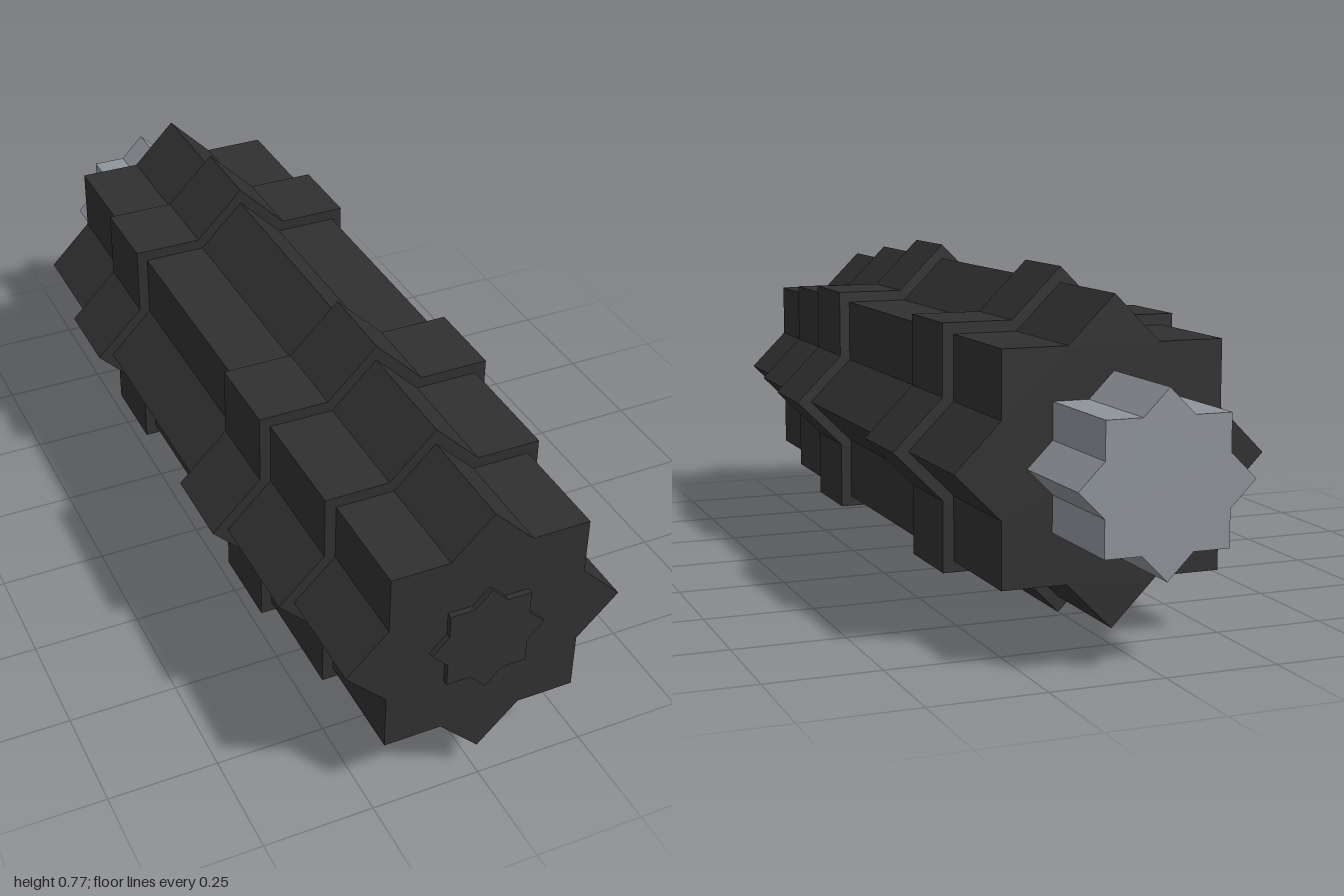
import * as THREE from 'three';

const AXIS_Y = 0.385;

// Eight-pointed star: the outline of two squares crossed at 45 degrees
function starShape(radius) {
  const inner = radius * Math.SQRT1_2 / Math.cos(Math.PI / 8);
  const points = [];
  for (let i = 0; i < 16; i++) {
    const r = i % 2 ? inner : radius;
    const a = i * Math.PI / 8;
    points.push(new THREE.Vector2(r * Math.cos(a), r * Math.sin(a)));
  }
  return new THREE.Shape(points);
}

// Star prism running along z from back to front
function starPrism(name, radius, back, front, material) {
  const geometry = new THREE.ExtrudeGeometry(starShape(radius), { depth: front - back, bevelEnabled: false });
  const mesh = new THREE.Mesh(geometry, material);
  mesh.name = name;
  mesh.position.set(0, AXIS_Y, back);
  return mesh;
}

export function createModel() {
  const black = new THREE.MeshStandardMaterial({ color: 0x303030 });
  black.name = 'black casing';
  const steel = new THREE.MeshStandardMaterial({ color: 0x8f949a });
  steel.name = 'grey metal';

  const model = new THREE.Group();
  model.name = 'starCylinder';
  model.add(
    starPrism('body', 0.35, -0.75, 0.74, black),
    starPrism('frontRing', 0.385, 0.27, 0.465, black),
    starPrism('backRing', 0.385, -0.475, -0.28, black),
    starPrism('frontCap', 0.315, 0.74, 0.987, black),
    starPrism('frontButton', 0.13, 0.987, 1, black),
    starPrism('backShaft', 0.192, -1, -0.75, steel),
  );
  return model;
}
